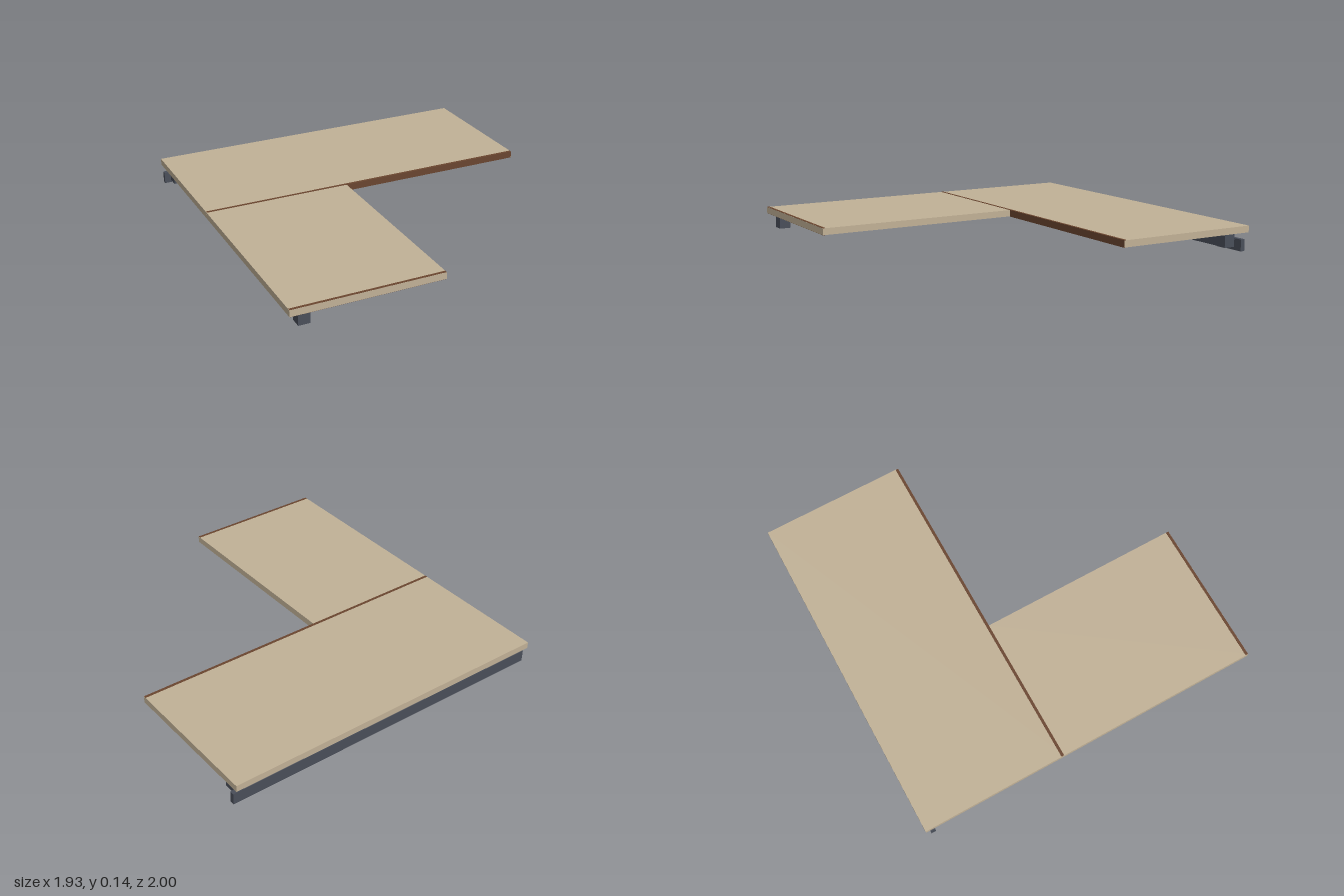
import * as THREE from 'three';

export function createModel() {
  const group = new THREE.Group();
  const material = (name, color) => {
    const m = new THREE.MeshStandardMaterial({ color });
    m.name = name;
    return m;
  };
  const wood = material('pale wood', 0xc2b297);
  const edging = material('brown edging', 0x6b4630);
  const metal = material('dark grey metal', 0x4a4f5a);

  // Box given by its extents along each axis
  const box = (name, mat, [x0, x1], [y0, y1], [z0, z1]) => {
    const mesh = new THREE.Mesh(new THREE.BoxGeometry(x1 - x0, y1 - y0, z1 - z0), mat);
    mesh.position.set((x0 + x1) / 2, (y0 + y1) / 2, (z0 + z1) / 2);
    mesh.name = name;
    group.add(mesh);
  };

  // L-shaped desktop
  const top = [0.1, 0.137];
  box('mainDesktop', wood, [-0.967, 0.967], top, [-1, -0.167]);
  box('returnDesktop', wood, [-0.967, -0.132], top, [-0.166, 1]);

  // Edging strips, just proud of the boards above and below
  const strip = [0.099, 0.138];
  box('mainEdging', edging, [-0.966, 0.966], strip, [-0.182, -0.1662]);
  box('returnEdging', edging, [-0.966, -0.133], strip, [0.984, 0.9995]);

  // Short legs: two at the back, one under the return
  const legHeight = [0.022, 0.1];
  box('backLeftLeg', metal, [0.87, 0.935], legHeight, [-0.928, -0.862]);
  box('backRightLeg', metal, [-0.935, -0.87], legHeight, [-0.928, -0.862]);
  box('returnLeg', metal, [-0.912, -0.848], legHeight, [0.904, 0.968]);

  // Low rail along the back
  box('backRail', metal, [-0.967, 0.967], [0, 0.065], [-0.973, -0.947]);

  return group;
}
